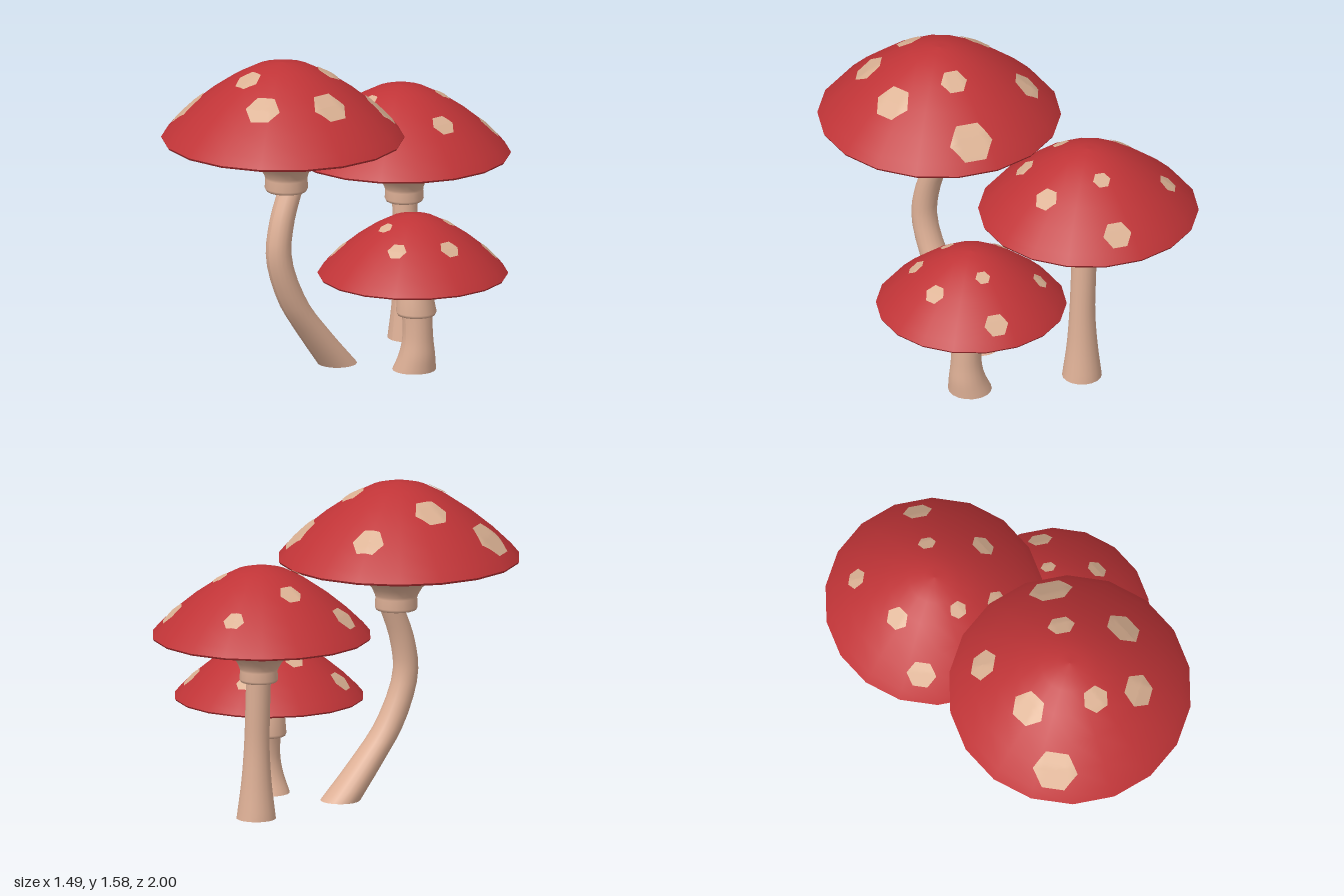
import * as THREE from 'three';

const SIDES = 18;
const red = new THREE.MeshStandardMaterial({ color: 0xc03437 });
red.name = 'cap red';
const tan = new THREE.MeshStandardMaterial({ color: 0xdeb096 });
tan.name = 'stem tan';
const cream = new THREE.MeshStandardMaterial({ color: 0xdcb294 });
cream.name = 'spot cream';

// Cap profile [radius, height above rim], from the rim to the apex
const CAP = [[0.6, 0.005], [0.56, 0.053], [0.47, 0.14], [0.36, 0.23], [0.25, 0.305], [0.14, 0.362], [0.06, 0.382], [0, 0.388]];
const LIP = [[0.57, -0.006], [0.594, -0.006], [0.6, 0.005]];
// Underside: stem ring first, then the flare out to the rim
const GILLS = [[0.04, -0.262], [0.1, -0.262], [0.107, -0.247], [0.104, -0.2], [0.108, -0.185], [0.125, -0.15],
  [0.16, -0.115], [0.235, -0.077], [0.37, -0.04], [0.5, -0.016], [0.58, -0.005]];
const SHORT_GILLS = [[0.04, -0.202], [0.094, -0.202], [0.1, -0.187], [0.088, -0.1], [0.085, -0.087], [0.11, -0.076],
  [0.19, -0.057], [0.3, -0.029], [0.45, -0.005]];
// Spots: x, z and radius on the full-size cap
const SPOTS = [[-0.273, -0.335, 0.082], [0.245, -0.42, 0.11], [0.115, -0.195, 0.068], [-0.285, 0.015, 0.09],
  [0.355, -0.005, 0.094], [-0.015, 0.21, 0.068], [0.195, 0.29, 0.087], [-0.365, 0.305, 0.112]];

function add(group, name, geometry, material) {
  const mesh = new THREE.Mesh(geometry, material);
  mesh.name = name;
  group.add(mesh);
  return mesh;
}

function lathe(profile, s = 1) {
  return new THREE.LatheGeometry(profile.map(([r, y]) => new THREE.Vector2(r * s, y * s)), SIDES);
}

// Height of the many-sided cap above a point
function capHeight(x, z) {
  const step = (2 * Math.PI) / SIDES;
  const a = Math.atan2(x, z);
  const d = a - (Math.floor(a / step) + 0.5) * step;
  const r = (Math.hypot(x, z) * Math.cos(d)) / Math.cos(step / 2);
  for (let i = 1; i < CAP.length; i++) {
    const [r0, y0] = CAP[i - 1], [r1, y1] = CAP[i];
    if (r >= r1) return y0 + ((r0 - r) / (r0 - r1)) * (y1 - y0);
  }
  return CAP[CAP.length - 1][1];
}

// Thin six-sided patch lying on the cap, foreshortened by the local slope
function spotGeometry(x, z, radius) {
  const geo = new THREE.RingGeometry(0.001, 1, 24, 5);
  const p = geo.attributes.position;
  const rho = Math.hypot(x, z), ux = x / rho, uz = z / rho, e = 0.04;
  const slope = (capHeight(x - ux * e, z - uz * e) - capHeight(x + ux * e, z + uz * e)) / (2 * e);
  const squash = 1 / Math.hypot(1, slope);
  for (let i = 0; i < p.count; i++) {
    const a = Math.atan2(p.getY(i), p.getX(i)) + 2 * Math.PI;
    const hex = Math.cos(Math.PI / 6) / Math.cos((a % (Math.PI / 3)) - Math.PI / 6);
    const t = p.getX(i) * hex * radius, q = p.getY(i) * hex * radius * squash;
    const px = x + ux * q - uz * t, pz = z + uz * q + ux * t;
    p.setXYZ(i, px, capHeight(px, pz) + 0.007, pz);
  }
  geo.computeVertexNormals();
  return geo;
}

// Stem with level cross-sections along a curve; nodes are [x, y, z, radius]
function stemGeometry(nodes) {
  const geo = new THREE.CylinderGeometry(1, 1, 1, SIDES, 16);
  const path = new THREE.CatmullRomCurve3(nodes.map(([x, y, z]) => new THREE.Vector3(x, y, z)));
  const radii = new THREE.CatmullRomCurve3(nodes.map((n) => new THREE.Vector3(n[3], 0, 0)), false, 'catmullrom');
  const p = geo.attributes.position;
  for (let i = 0; i < p.count; i++) {
    const t = Math.min(1, Math.max(0, p.getY(i) + 0.5));
    const c = path.getPoint(t), r = radii.getPoint(t).x;
    p.setXYZ(i, c.x + p.getX(i) * r, c.y, c.z + p.getZ(i) * r);
  }
  geo.computeVertexNormals();
  return geo;
}

function mushroom({ name, x, y, z, scale, spotScale, gills, gillScale, stem }) {
  const group = new THREE.Group();
  group.name = name;

  const cap = new THREE.Group();
  cap.name = 'cap';
  cap.position.set(x, y, z);
  group.add(cap);
  add(cap, 'capTop', lathe(CAP, scale), red);
  add(cap, 'capLip', lathe(LIP, scale), red);

  // Underside leans slightly towards the stem
  const under = lathe(gills, gillScale);
  const p = under.attributes.position;
  const depth = -gills[0][1] * gillScale;
  for (let i = 0; i < p.count; i++) {
    p.setX(i, p.getX(i) + 0.027 * Math.min(1, (-p.getY(i) / depth) * 1.3));
  }
  add(cap, 'gillsAndRing', under, tan);

  SPOTS.forEach(([sx, sz, r]) => {
    const spot = add(cap, 'spot', spotGeometry(sx, sz, (r * spotScale) / scale), cream);
    spot.scale.setScalar(scale);
  });

  add(group, 'stem', stemGeometry(stem), tan);
  return group;
}

export function createModel() {
  const model = new THREE.Group();
  model.name = 'mushroomCluster';
  model.add(
    mushroom({
      name: 'tallMushroom', x: -0.085, y: 1.196, z: 0.403, scale: 1, spotScale: 1, gills: GILLS, gillScale: 1,
      stem: [[-0.036, 0, 0.097, 0.098], [-0.038, 0.18, 0.245, 0.084], [-0.041, 0.36, 0.375, 0.073],
        [-0.043, 0.6, 0.463, 0.064], [-0.046, 0.78, 0.442, 0.062], [-0.05, 0.96, 0.375, 0.061]],
    }),
    mushroom({
      name: 'middleMushroom', x: -0.214, y: 0.932, z: -0.456, scale: 0.905, spotScale: 0.66, gills: GILLS, gillScale: 0.9,
      stem: [[-0.164, 0, -0.457, 0.098], [-0.166, 0.18, -0.457, 0.076], [-0.168, 0.36, -0.456, 0.064],
        [-0.176, 0.54, -0.456, 0.062], [-0.185, 0.72, -0.456, 0.062]],
    }),
    mushroom({
      name: 'smallMushroom', x: 0.282, y: 0.487, z: -0.123, scale: 0.783, spotScale: 0.56, gills: SHORT_GILLS, gillScale: 1,
      stem: [[0.292, 0, -0.123, 0.108], [0.313, 0.08, -0.123, 0.09], [0.32, 0.16, -0.123, 0.077],
        [0.318, 0.24, -0.123, 0.074], [0.311, 0.32, -0.123, 0.076]],
    }),
  );
  return model;
}
